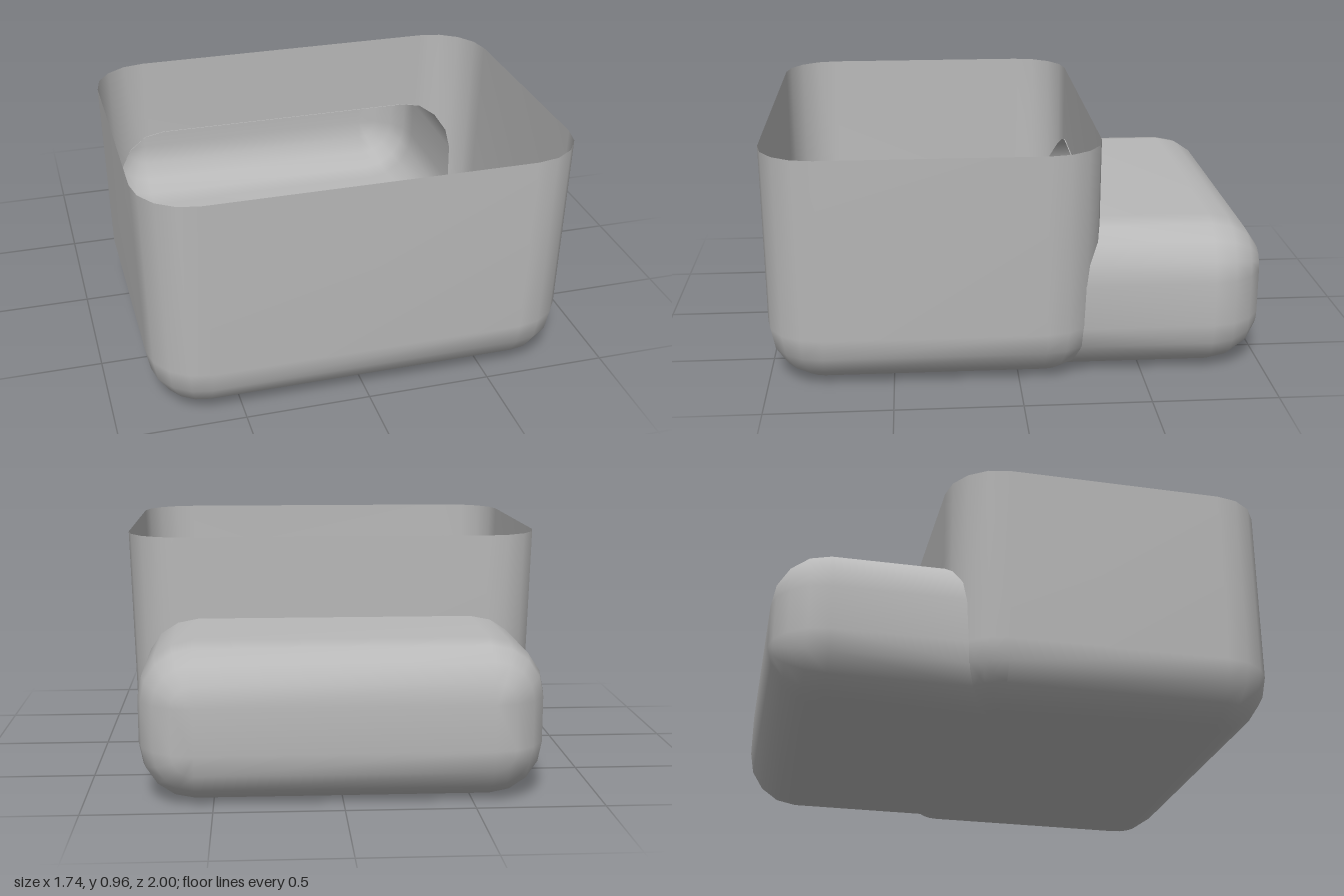
import * as THREE from 'three';
import { mergeVertices } from 'three/addons/utils/BufferGeometryUtils.js';

const STEPS = 4; // segments per rounded corner
const BIN = { w: 0.85, flare: 0.02, back: -0.33, front: 1, h: 0.96, r: 0.225 };
const BAY = { w: 0.79, h: 0.62, back: -1, r: 0.22 };

// Counter-clockwise rounded rectangle centred on the origin
function roundedRect(hw, hh, r) {
  const pts = [];
  [[1, 1], [-1, 1], [-1, -1], [1, -1]].forEach(([sx, sy], c) => {
    for (let i = 0; i <= STEPS; i++) {
      const a = (c + i / STEPS) * Math.PI / 2;
      pts.push([sx * (hw - r) + r * Math.cos(a), sy * (hh - r) + r * Math.sin(a)]);
    }
  });
  return pts;
}

// Rings that grow along a quarter round, from the flat end to full size
function roundedEnd(hw, hh, r, place) {
  const rings = [];
  for (let i = 0; i <= STEPS; i++) {
    const a = i / STEPS * Math.PI / 2;
    const inset = r * (1 - Math.sin(a));
    const depth = r * (1 - Math.cos(a));
    rings.push(roundedRect(hw - inset, hh - inset, r - inset).map(([u, v]) => place(u, v, depth)));
  }
  return rings;
}

// Smooth shell through the rings, closed by a flat cap on the first ring
function shell(rings) {
  const n = rings[0].length, index = [];
  for (let i = 0; i + 1 < rings.length; i++) {
    for (let j = 0; j < n; j++) {
      const a = i * n + j, b = i * n + (j + 1) % n;
      index.push(a, b, b + n, a, b + n, a + n);
    }
  }
  const k = STEPS + 1;
  index.push(0, 2 * k, k, 0, 3 * k, 2 * k);
  let g = new THREE.BufferGeometry();
  g.setAttribute('position', new THREE.Float32BufferAttribute(rings.flat(2), 3));
  g.setIndex(index);
  g = mergeVertices(g, 1e-4);
  g.computeVertexNormals();
  return g;
}

// Removes the part of the back wall that lies inside a convex xy outline
function cutOpening(geometry, outline) {
  const g = geometry.toNonIndexed();
  const p = g.attributes.position, q = g.attributes.normal;
  const pos = [], nor = [];
  const emit = (poly) => {
    for (let i = 1; i + 1 < poly.length; i++) {
      for (const v of [poly[0], poly[i], poly[i + 1]]) {
        pos.push(...v.slice(0, 3));
        nor.push(...v.slice(3));
      }
    }
  };
  const clip = (poly, side) => {
    const out = [];
    poly.forEach((a, i) => {
      const b = poly[(i + 1) % poly.length], da = side(a), db = side(b);
      if (da >= 0) out.push(a);
      if (da * db < 0) out.push(a.map((v, k) => v + (b[k] - v) * da / (da - db)));
    });
    return out;
  };
  for (let t = 0; t < p.count; t += 3) {
    let poly = [t, t + 1, t + 2].map((i) =>
      [p.getX(i), p.getY(i), p.getZ(i), q.getX(i), q.getY(i), q.getZ(i)]);
    const isFloor = poly.every((v) => v[1] < 1e-4);
    const isBack = poly.every((v) => v[2] < 0);
    if (isFloor || !isBack) { emit(poly); continue; }
    outline.forEach(([x0, y0], i) => {
      const [x1, y1] = outline[(i + 1) % outline.length];
      if (Math.hypot(x1 - x0, y1 - y0) < 1e-6) return;
      const side = (v) => (x1 - x0) * (v[1] - y0) - (y1 - y0) * (v[0] - x0);
      emit(clip(poly, (v) => -side(v)));
      poly = clip(poly, side);
    });
  }
  const out = new THREE.BufferGeometry();
  out.setAttribute('position', new THREE.Float32BufferAttribute(pos, 3));
  out.setAttribute('normal', new THREE.Float32BufferAttribute(nor, 3));
  return out;
}

// Depth at which the bin's back surface is met at a given x and y
function binBackZ(x, y) {
  const { w, flare, back, h, r } = BIN;
  const hw = w + flare * Math.max(0, (y - r) / (h - r));
  const dx = Math.max(0, Math.abs(x) - (hw - r));
  const dy = Math.max(0, r - y);
  return back + r - Math.sqrt(Math.max(0, r * r - dx * dx - dy * dy));
}

export function createModel() {
  const group = new THREE.Group();
  const grey = new THREE.MeshStandardMaterial({ color: 0xb8b8b8, side: THREE.DoubleSide });
  grey.name = 'plain grey';

  const bayOutline = roundedRect(BAY.w, BAY.h / 2, BAY.r).map(([x, y]) => [x, y + BAY.h / 2]);

  // Open-topped bin with a slightly flared rim
  const midZ = (BIN.front + BIN.back) / 2, halfZ = (BIN.front - BIN.back) / 2;
  const binRings = roundedEnd(BIN.w, halfZ, BIN.r, (u, v, d) => [u, d, midZ - v]);
  binRings.push(roundedRect(BIN.w + BIN.flare, halfZ, BIN.r).map(([u, v]) => [u, BIN.h, midZ - v]));
  const bin = new THREE.Mesh(cutOpening(shell(binRings), bayOutline), grey);
  bin.name = 'openBin';
  group.add(bin);

  // Hollow low bay behind, joined to the bin through the opening
  const bayRings = roundedEnd(BAY.w, BAY.h / 2, BAY.r, (u, v, d) => [u, v + BAY.h / 2, BAY.back + d]);
  bayRings.push(bayOutline.map(([x, y]) => [x, y, binBackZ(x, y) + 0.004]));
  const bay = new THREE.Mesh(shell(bayRings), grey);
  bay.name = 'rearBay';
  group.add(bay);

  return group;
}
